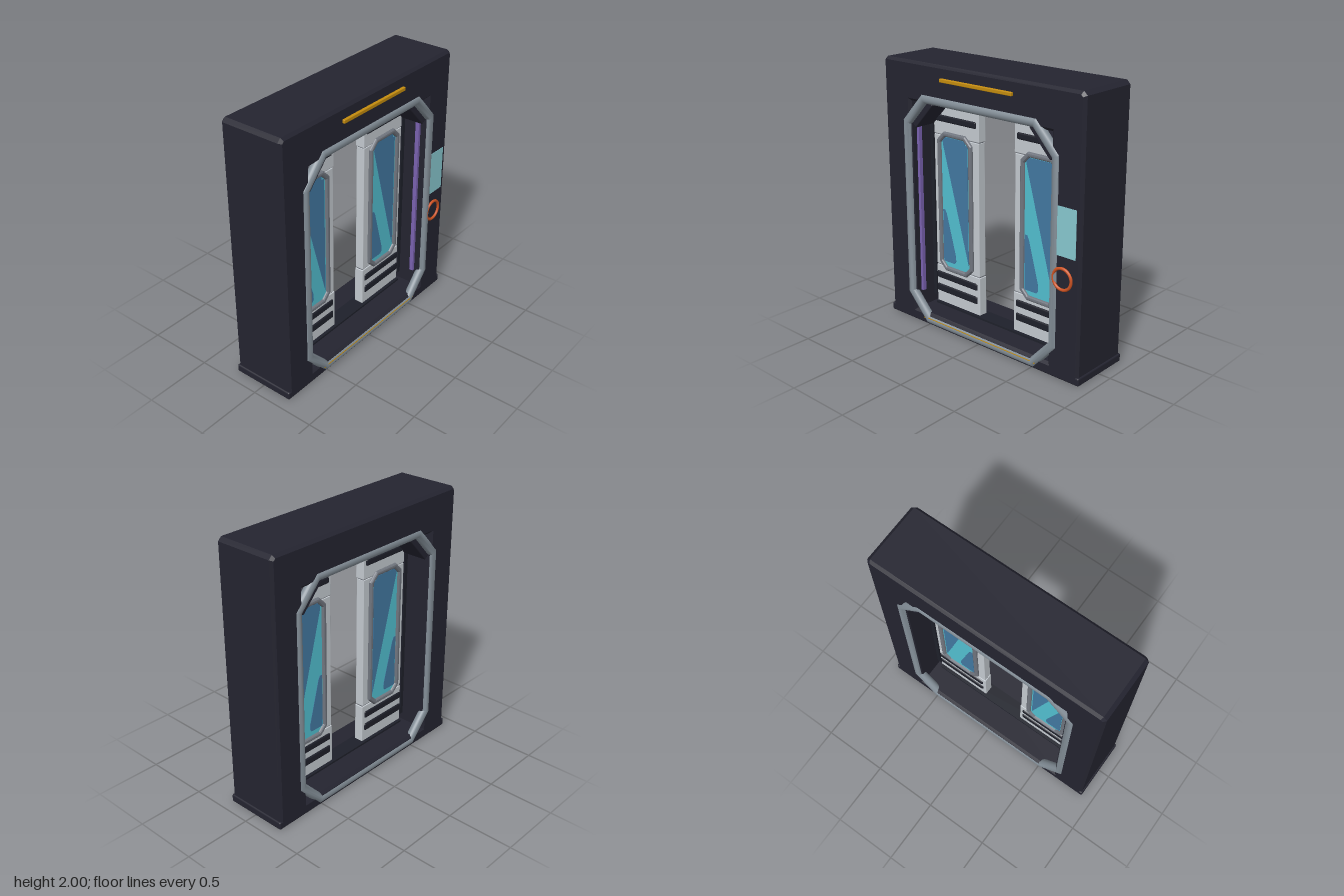
import * as THREE from 'three';
import { toCreasedNormals } from 'three/addons/utils/BufferGeometryUtils.js';
import { RoundedBoxGeometry } from 'three/addons/geometries/RoundedBoxGeometry.js';

const mat = (name, color) => Object.assign(new THREE.MeshStandardMaterial({ color }), { name });
const M = {
  frame: mat('dark frame', 0x242430),
  vent: mat('vent black', 0x1e202a),
  trim: mat('grey trim', 0x828d96),
  rim: mat('window rim grey', 0x70757e),
  door: mat('pale door', 0xc4cad0),
  glass: mat('cyan glass', 0x52bfd0),
  tint: mat('blue glass', 0x4278a1),
  gold: mat('gold', 0xc48c0e),
  orange: mat('orange', 0xcc5222),
  purple: mat('purple light', 0x7a62b0),
};
const screenMat = M.screen = undefined || M.glass;

function add(parent, name, geo, material, x = 0, y = 0, z = 0) {
  const mesh = new THREE.Mesh(geo, material);
  mesh.name = name;
  mesh.position.set(x, y, z);
  parent.add(mesh);
  return mesh;
}

// Box given by its limits on each axis
function box(parent, name, material, [x0, x1], [y0, y1], [z0, z1], round = 0) {
  const s = [x1 - x0, y1 - y0, z1 - z0];
  const geo = round ? new RoundedBoxGeometry(...s, 2, round) : new THREE.BoxGeometry(...s);
  return add(parent, name, geo, material, (x0 + x1) / 2, (y0 + y1) / 2, (z0 + z1) / 2);
}

// Rectangle with cut corners, counter-clockwise
function cutRect(x0, x1, y0, y1, cx, cy = cx) {
  return [[x0 + cx, y0], [x1 - cx, y0], [x1, y0 + cy], [x1, y1 - cy],
    [x1 - cx, y1], [x0 + cx, y1], [x0, y1 - cy], [x0, y0 + cy]].map(p => new THREE.Vector2(...p));
}

// Round bar swept around a closed outline with mitred corners
function mitredTube(pts, r, sides = 16) {
  const n = pts.length, pos = [], idx = [];
  pts.forEach((p, i) => {
    const a = p.clone().sub(pts[(i + n - 1) % n]).normalize();
    const b = pts[(i + 1) % n].clone().sub(p).normalize();
    const m = new THREE.Vector2(a.y + b.y, -a.x - b.x).normalize();
    const k = r / (m.x * a.y - m.y * a.x);
    for (let j = 0; j < sides; j++) {
      const t = j / sides * Math.PI * 2;
      pos.push(p.x + m.x * k * Math.cos(t), p.y + m.y * k * Math.cos(t), r * Math.sin(t));
      const i2 = (i + 1) % n, j2 = (j + 1) % sides;
      const q = [i * sides + j, i2 * sides + j, i2 * sides + j2, i * sides + j2];
      idx.push(q[0], q[1], q[2], q[0], q[2], q[3]);
    }
  });
  const geo = new THREE.BufferGeometry();
  geo.setAttribute('position', new THREE.Float32BufferAttribute(pos, 3));
  geo.setIndex(idx);
  return toCreasedNormals(geo, 0.5);
}

function plate(points, depth) {
  const shape = new THREE.Shape(points.map(p => new THREE.Vector2(...p)));
  return new THREE.ExtrudeGeometry(shape, { depth, bevelEnabled: false });
}

function makeFrame(root) {
  const g = new THREE.Group();
  g.name = 'doorFrame';
  root.add(g);
  // Bevelled wall with a rectangular opening
  const shape = new THREE.Shape(cutRect(-0.88, 0.88, 0.025, 1.98, 0.015));
  shape.holes.push(new THREE.Path(cutRect(-0.66, 0.66, 0.07, 1.73, 0.002).reverse()));
  const wall = new THREE.ExtrudeGeometry(shape, {
    depth: 0.45, bevelThickness: 0.02, bevelSize: 0.02, bevelSegments: 1,
  });
  add(g, 'wall', wall, M.frame, 0, 0, -0.23);
  box(g, 'basePlinth', M.frame, [-0.91, 0.91], [0, 0.06], [-0.25, 0.24], 0.012);
  // Door tracks
  box(g, 'topTrack', M.vent, [-0.6, 0.6], [1.68, 1.72], [-0.06, 0.06]);
  box(g, 'bottomTrack', M.vent, [-0.6, 0.6], [0.08, 0.105], [-0.06, 0.06]);
  for (const s of [-1, 1]) {
    const jamb = box(g, 'doorGuide', M.vent, [-0.018, 0.018], [0.15, 1.65], [-0.045, 0.045]);
    jamb.position.x = s * 0.627;
    const light = box(g, 'sideLight', M.purple, [-0.011, 0.011], [0.23, 1.53], [0.155, 0.185]);
    light.position.x = s * 0.624;
    // Slanted braces in the upper corners
    const brace = add(g, 'cornerBrace', new RoundedBoxGeometry(0.26, 0.05, 0.44, 2, 0.008),
      M.frame, s * 0.545, 1.622, -0.005);
    brace.rotation.z = -s * 0.82;
  }
  // Tubular trim around both mouths of the opening
  const outline = cutRect(-0.68, 0.68, 0.04, 1.745, 0.175, 0.19);
  for (const [name, z] of [['frontTrim', 0.22], ['backTrim', -0.225]])
    add(g, name, mitredTube(outline, 0.035), M.trim, 0, 0, z);
}

function makeDoor(root, s) {
  const g = new THREE.Group();
  g.name = s > 0 ? 'leftDoor' : 'rightDoor';
  root.add(g);
  const span = (a, b) => s > 0 ? [a, b] : [-b, -a];
  // Dark core shows in the seams between three panels
  box(g, 'doorCore', M.rim, span(0.172, 0.605), [0.105, 1.685], [-0.028, 0.028]);
  box(g, 'lowerPanel', M.door, span(0.165, 0.61), [0.1, 0.406], [-0.036, 0.036], 0.005);
  box(g, 'middlePanel', M.door, span(0.17, 0.61), [0.412, 1.437], [-0.034, 0.034], 0.005);
  box(g, 'upperPanel', M.door, span(0.165, 0.61), [1.443, 1.69], [-0.036, 0.036], 0.005);
  for (const [y0, y1] of [[1.54, 1.59], [0.3, 0.355], [0.19, 0.25]])
    box(g, 'vent', M.vent, span(0.19, 0.605), [y0, y1], [-0.046, 0.046], 0.012);

  // Window: cyan pane, blue tints and a rim on both faces
  const cx = s * 0.398;
  const pane = cutRect(-0.145, 0.145, 0.4, 1.445, 0.03).map(p => [p.x, p.y]);
  add(g, 'windowPane', plate(pane, 0.076), M.glass, cx, 0, -0.038);
  const upperTint = [[0.125, 0.48], [0.125, 1.4], [0.1, 1.4], [0.1, 1.43], [-0.12, 1.43], [-0.12, 1.38]];
  const lowerTint = [[-0.13, 0.455], [-0.02, 0.455], [-0.005, 0.475], [-0.008, 0.52],
    [-0.095, 0.84], [-0.11, 0.87], [-0.13, 0.87]];
  for (const pts of [upperTint, lowerTint])
    add(g, 'windowTint', plate(pts, 0.082), M.tint, cx, 0, -0.041);
  const rim = mitredTube(cutRect(-0.154, 0.154, 0.4, 1.452, 0.055), 0.019, 12);
  for (const z of [-0.038, 0.038]) add(g, 'windowRim', rim, M.rim, cx, 0, z);
}

export function createModel() {
  const root = new THREE.Group();
  root.name = 'slidingDoorway';
  makeFrame(root);
  for (const s of [-1, 1]) makeDoor(root, s);

  // Front fittings
  box(root, 'topLightBar', M.gold, [-0.325, 0.325], [1.889, 1.915], [0.235, 0.26], 0.005);
  box(root, 'thresholdStrip', M.gold, [-0.54, 0.54], [0.046, 0.058], [0.2, 0.2525]);
  const screen = mat('control screen', 0x88c8d0);
  box(root, 'controlScreen', screen, [0.7, 0.86], [0.9, 1.24], [0.236, 0.243]);
  add(root, 'handleRing', new THREE.TorusGeometry(0.075, 0.011, 10, 36), M.orange, 0.757, 0.742, 0.245);
  return root;
}
